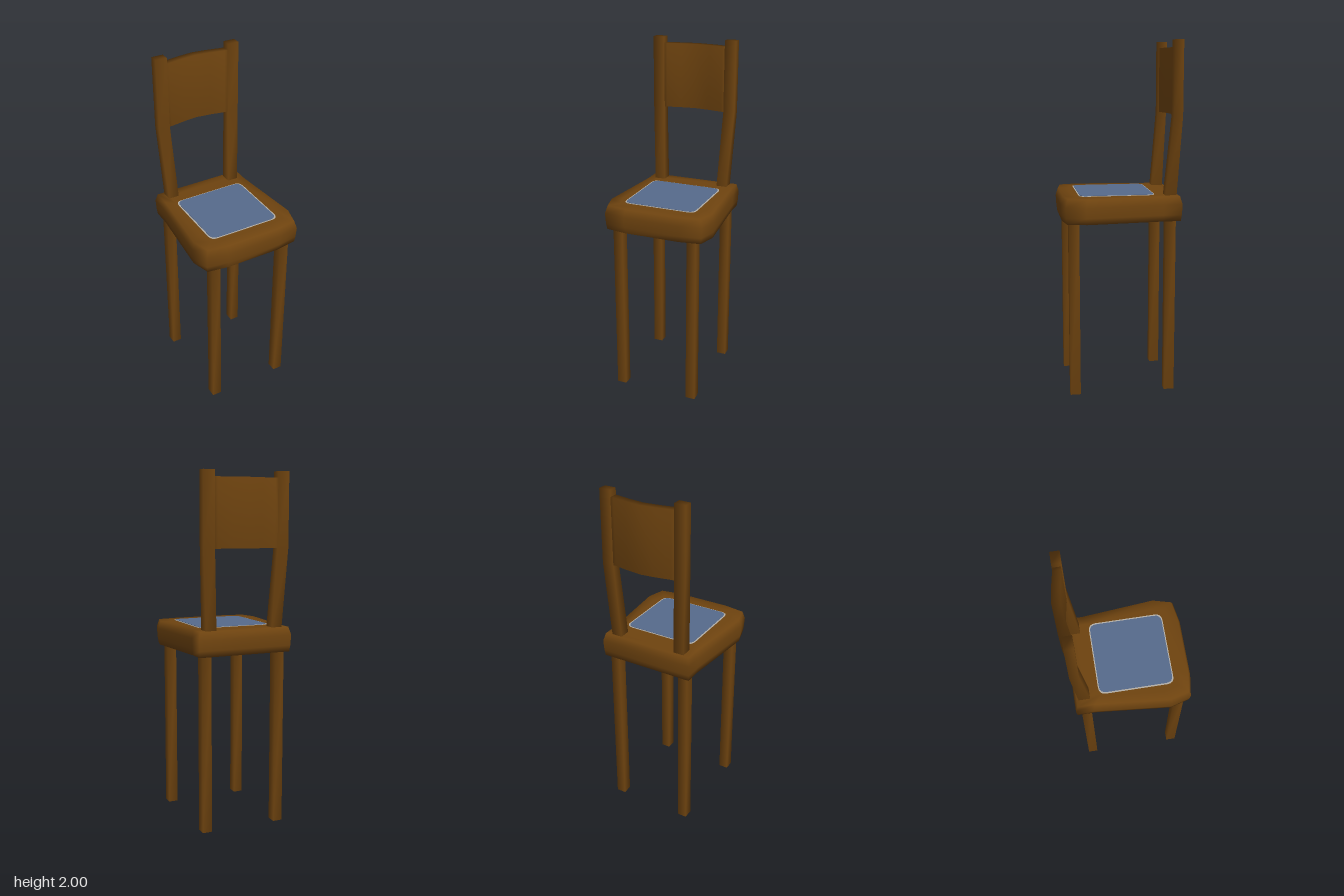
import * as THREE from 'three';

const wood = new THREE.MeshStandardMaterial({ color: 0x6e430f });
wood.name = 'brownWood';
const cloth = new THREE.MeshStandardMaterial({ color: 0x566a8c });
cloth.name = 'blueCloth';
const piping = new THREE.MeshStandardMaterial({ color: 0xb4afa6 });
piping.name = 'palePiping';

// Smooth capped solid through a row of loops with equal point counts
function loft(name, loops) {
  const n = loops[0].length, last = loops.length - 1, pos = loops.flat(2), idx = [];
  for (let r = 0; r < last; r++) {
    for (let i = 0; i < n; i++) {
      const j = (i + 1) % n, a = r * n, b = a + n;
      idx.push(a + i, a + j, b + j, a + i, b + j, b + i);
    }
  }
  for (let i = 1; i < n - 1; i++) {
    idx.push(0, i + 1, i);
    idx.push(last * n, last * n + i, last * n + i + 1);
  }
  const g = new THREE.BufferGeometry();
  g.setAttribute('position', new THREE.Float32BufferAttribute(pos, 3));
  g.setIndex(idx);
  g.computeVertexNormals();
  const mesh = new THREE.Mesh(g, wood);
  mesh.name = name;
  return mesh;
}

// Rectangular section of a post or leg at height y
const section = (y, x0, x1, z0, z1) => [[x1, y, z1], [x1, y, z0], [x0, y, z0], [x0, y, z1]];

// Flat rounded plate lying on the seat
function plate(name, w, d, r, y, thick, material) {
  const s = new THREE.Shape(), x = w / 2, z = d / 2;
  s.moveTo(-x + r, -z).lineTo(x - r, -z).quadraticCurveTo(x, -z, x, -z + r);
  s.lineTo(x, z - r).quadraticCurveTo(x, z, x - r, z);
  s.lineTo(-x + r, z).quadraticCurveTo(-x, z, -x, z - r);
  s.lineTo(-x, -z + r).quadraticCurveTo(-x, -z, -x + r, -z);
  const g = new THREE.ExtrudeGeometry(s, { depth: thick, bevelEnabled: false, curveSegments: 4 });
  g.rotateX(-Math.PI / 2);
  const mesh = new THREE.Mesh(g, material);
  mesh.name = name;
  mesh.position.set(0, y, 0.032);
  return mesh;
}

export function createModel() {
  const chair = new THREE.Group();
  chair.name = 'chair';

  // Seat: tapered outline with a softened upper edge
  const half = [[0.165, 0.35], [0.29, 0.33], [0.32, 0.22], [0.28, -0.22], [0.28, -0.325]];
  const outline = [...half, ...half.map(([x, z]) => [-x, z]).reverse()];
  const ring = (y, s) => outline.map(([x, z]) => [x * s, y, z * s]);
  chair.add(loft('seat', [ring(1.005, 0.975), ring(1.04, 0.99), ring(1.1, 1), ring(1.145, 0.96), ring(1.146, 0.78)]));

  // Seat pad with its pale edging
  chair.add(plate('padEdging', 0.432, 0.43, 0.042, 1.143, 0.005, piping));
  chair.add(plate('seatPad', 0.416, 0.418, 0.04, 1.144, 0.006, cloth));

  for (const side of [1, -1]) {
    const label = side > 0 ? 'left' : 'right';
    const rect = (y, a, b, z0, z1) => section(y, Math.min(a * side, b * side), Math.max(a * side, b * side), z0, z1);

    // Straight legs
    chair.add(loft(label + 'FrontLeg', [rect(0, 0.195, 0.25, 0.252, 0.31), rect(1.02, 0.195, 0.25, 0.252, 0.31)]));
    chair.add(loft(label + 'BackLeg', [rect(0, 0.195, 0.25, -0.294, -0.236), rect(1.02, 0.195, 0.25, -0.294, -0.236)]));

    // Back posts lean outward and back, then rise straight
    chair.add(loft(label + 'BackPost', [
      rect(1.13, 0.168, 0.23, -0.3, -0.234),
      rect(1.59, 0.187, 0.254, -0.326, -0.276),
      rect(2, 0.187, 0.254, -0.326, -0.276),
    ]));
  }

  // Curved backrest panel between the posts
  const bow = [[-0.2, 0], [-0.17, 0.001], [-0.085, 0.017], [0, 0.027], [0.085, 0.017], [0.17, 0.001], [0.2, 0]];
  chair.add(loft('backrest', bow.map(([x, b]) => {
    const front = -0.281 - b, back = -0.325 - b;
    return [[x, 1.588, front], [x, 1.588, back], [x, 1.964, back], [x, 1.964, front]];
  })));

  return chair;
}
